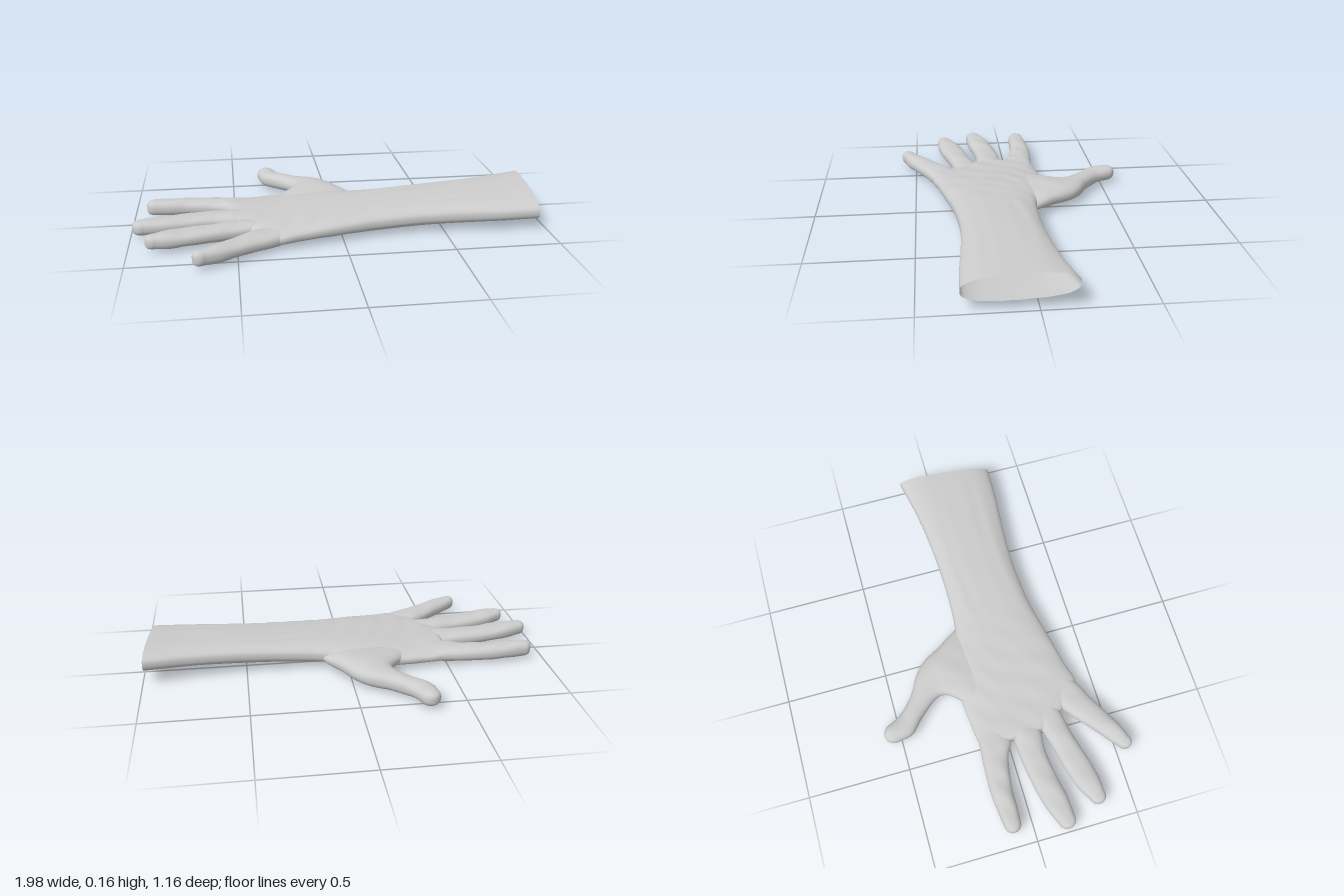
import * as THREE from 'three';

const material = new THREE.MeshStandardMaterial({ color: 0xcccccc, side: THREE.DoubleSide });
const AROUND = 56;

// Soft cloth folds: long creases down the sleeve, diagonal ones over the palm.
function fold(x, z) {
  const sleeve = THREE.MathUtils.smoothstep(x, -0.15, 0.3);
  const long = Math.sin(70 * z + 5 * x + 2 * Math.sin(4 * x)) * (0.6 + 0.4 * Math.sin(6 * x + 20 * z));
  const diagonal = Math.sin(42 * x + 30 * z + 2 * Math.sin(9 * z)) * Math.sin(8 * x - 13 * z);
  return 0.0022 * (sleeve * long + (1 - sleeve) * diagonal);
}

// Skin through flat oval sections. Each section: [xA, zA, xB, zB, yLow, yHigh, tilt],
// where A and B are its two side edges. The far end closes with a rounded tip.
function loft(name, sections, steps, tipLength, squareness) {
  const last = sections.length - 1;
  const at = (t) => {
    const f = Math.min(t * last, last - 1e-6);
    const i = Math.floor(f), u = f - i;
    return sections[0].map((_, k) => {
      const p = (n) => sections[THREE.MathUtils.clamp(n, 0, last)][k];
      const a = p(i - 1), b = p(i), c = p(i + 1), d = p(i + 2);
      return b + 0.5 * u * (c - a + u * (2 * a - 5 * b + 4 * c - d + u * (3 * (b - c) + d - a)));
    });
  };
  const positions = [], indices = [];
  const addRing = (s, scale, advance) => {
    const [xA, zA, xB, zB, low, high, tilt = 0] = s;
    const hx = (xB - xA) / 2, hz = (zB - zA) / 2, width = Math.hypot(hx, hz);
    const cx = (xA + xB) / 2 - (hz / width) * advance;
    const cz = (zA + zB) / 2 + (hx / width) * advance;
    for (let j = 0; j < AROUND; j++) {
      const a = (j / AROUND) * Math.PI * 2;
      const c = Math.cos(a), q = Math.sin(a), e = 2 / squareness;
      const across = Math.sign(c) * Math.abs(c) ** e * scale;
      const up = Math.sign(q) * Math.abs(q) ** e * Math.sqrt(scale);
      const x = cx + hx * across, z = cz + hz * across;
      const y = (low + high) / 2 + up * (high - low) / 2 + tilt * across + fold(x, z) * q;
      positions.push(x, Math.max(0, y), z);
    }
  };
  for (let i = 0; i <= steps; i++) addRing(at(i / steps), 1, 0);
  const capSteps = 10;
  for (let k = 1; k <= capSteps; k++) {
    const a = (k / capSteps) * Math.PI / 2;
    addRing(sections[last], Math.max(Math.cos(a), 1e-4), Math.sin(a) * tipLength);
  }
  for (let i = 0; i < steps + capSteps; i++) {
    for (let j = 0; j < AROUND; j++) {
      const n = (j + 1) % AROUND;
      const a = i * AROUND + j, b = i * AROUND + n;
      indices.push(a, b, a + AROUND, b, b + AROUND, a + AROUND);
    }
  }
  const geometry = new THREE.BufferGeometry();
  geometry.setAttribute('position', new THREE.Float32BufferAttribute(positions, 3));
  geometry.setIndex(indices);
  geometry.computeVertexNormals();
  const mesh = new THREE.Mesh(geometry, material);
  mesh.name = name;
  return mesh;
}

export function createModel() {
  const glove = new THREE.Group();
  glove.name = 'glove';

  // Open sleeve running into the palm
  glove.add(loft('sleeveAndPalm', [
    [0.99, -0.165, 0.96, 0.32, 0.04, 0.155, -0.016],
    [0.80, -0.125, 0.79, 0.315, 0.033, 0.148, -0.013],
    [0.60, -0.10, 0.60, 0.30, 0.025, 0.143, -0.01],
    [0.40, -0.088, 0.40, 0.292, 0.018, 0.135, -0.007],
    [0.20, -0.09, 0.20, 0.305, 0.01, 0.125, -0.004],
    [0.08, -0.105, 0.08, 0.325, 0.007, 0.118, -0.002],
    [-0.08, -0.145, -0.08, 0.36, 0.004, 0.109, 0],
    [-0.20, -0.165, -0.20, 0.385, 0.002, 0.10, 0],
    [-0.30, -0.163, -0.30, 0.41, 0.002, 0.092, 0],
    [-0.37, -0.155, -0.37, 0.375, 0.003, 0.088, 0],
    [-0.43, -0.15, -0.43, 0.295, 0.004, 0.086, 0],
    [-0.48, -0.14, -0.475, 0.235, 0.006, 0.083, 0],
  ], 110, 0.03, 2.7));

  // Thumb with its broad root
  glove.add(loft('thumb', [
    [0.12, 0.0, -0.30, 0.0, 0.03, 0.085],
    [0.125, -0.09, -0.29, -0.11, 0.012, 0.10],
    [0.055, -0.20, -0.215, -0.205, 0.01, 0.108],
    [0.0, -0.295, -0.195, -0.25, 0.01, 0.104],
    [-0.06, -0.35, -0.212, -0.298, 0.01, 0.098],
    [-0.15, -0.40, -0.277, -0.375, 0.01, 0.092],
    [-0.23, -0.47, -0.345, -0.44, 0.01, 0.09],
    [-0.27, -0.54, -0.362, -0.51, 0.014, 0.088],
  ], 50, 0.052, 2.3));

  // Four fingers, each from inside the palm to the tip
  const fingers = {
    indexFinger: [
      [-0.36, -0.14, -0.36, 0.0, 0.02, 0.075],
      [-0.50, -0.143, -0.50, 0.015, 0.008, 0.084],
      [-0.58, -0.15, -0.58, -0.022, 0.008, 0.085],
      [-0.72, -0.155, -0.72, -0.047, 0.01, 0.086],
      [-0.82, -0.147, -0.82, -0.05, 0.01, 0.09],
      [-0.895, -0.137, -0.90, -0.055, 0.014, 0.09],
    ],
    middleFinger: [
      [-0.36, 0.04, -0.36, 0.15, 0.02, 0.075],
      [-0.50, 0.028, -0.49, 0.167, 0.008, 0.084],
      [-0.61, 0.033, -0.60, 0.16, 0.008, 0.083],
      [-0.74, 0.05, -0.72, 0.173, 0.01, 0.083],
      [-0.86, 0.078, -0.83, 0.193, 0.01, 0.085],
      [-0.963, 0.118, -0.935, 0.199, 0.014, 0.085],
    ],
    ringFinger: [
      [-0.32, 0.15, -0.30, 0.26, 0.02, 0.075],
      [-0.48, 0.17, -0.43, 0.288, 0.008, 0.084],
      [-0.60, 0.20, -0.56, 0.312, 0.008, 0.083],
      [-0.72, 0.225, -0.69, 0.347, 0.01, 0.083],
      [-0.82, 0.257, -0.79, 0.368, 0.01, 0.085],
      [-0.89, 0.295, -0.867, 0.371, 0.014, 0.085],
    ],
    littleFinger: [
      [-0.28, 0.23, -0.21, 0.36, 0.02, 0.075],
      [-0.41, 0.295, -0.335, 0.423, 0.006, 0.084],
      [-0.48, 0.347, -0.41, 0.458, 0.008, 0.083],
      [-0.56, 0.415, -0.50, 0.507, 0.01, 0.083],
      [-0.63, 0.47, -0.57, 0.545, 0.01, 0.085],
      [-0.683, 0.512, -0.64, 0.57, 0.014, 0.085],
    ],
  };
  for (const [name, sections] of Object.entries(fingers)) {
    glove.add(loft(name, sections, 44, 0.04, 2.4));
  }
  return glove;
}
